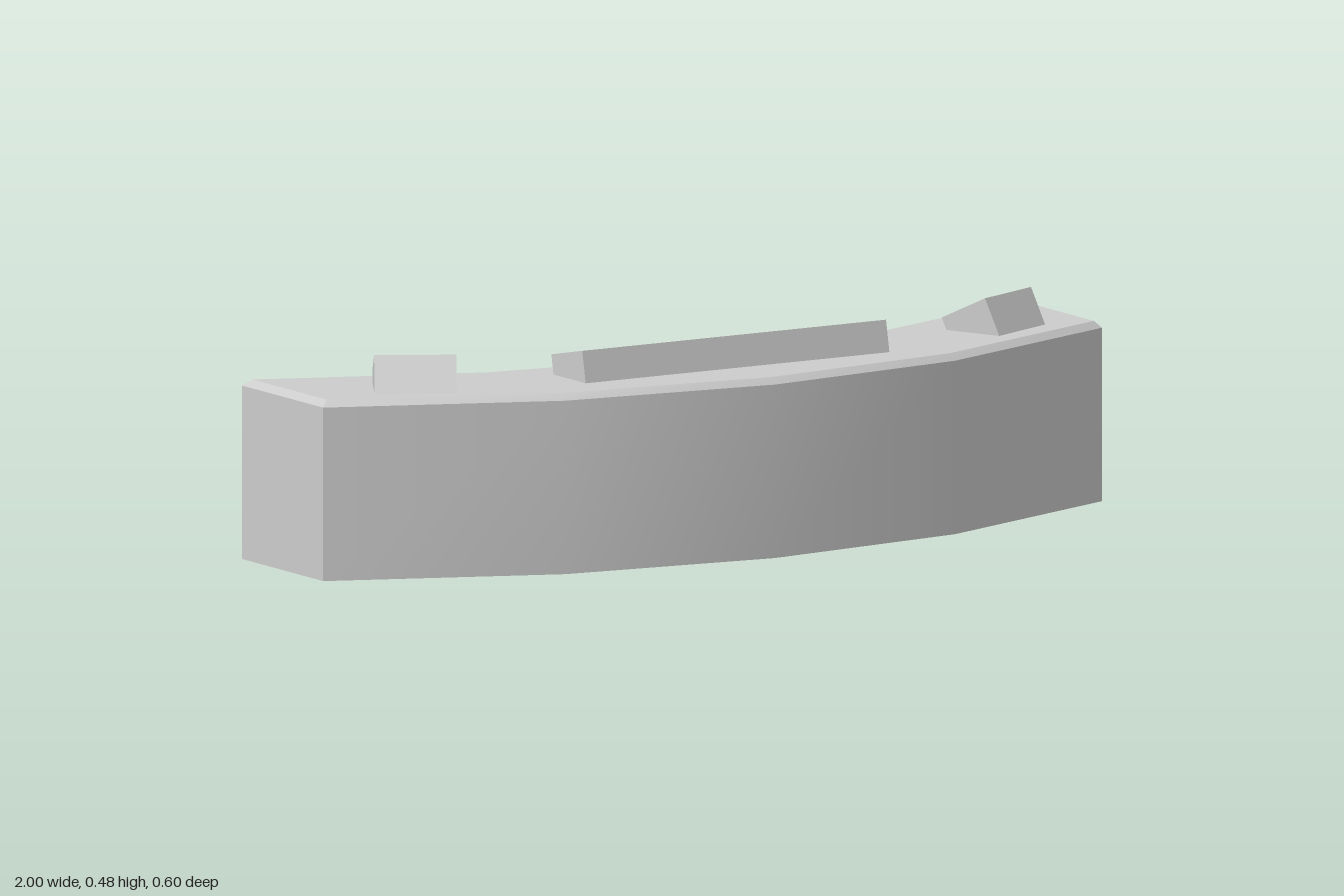
import * as THREE from 'three';
import { toCreasedNormals } from 'three/addons/utils/BufferGeometryUtils.js';

const material = new THREE.MeshStandardMaterial({ color: 0xcccccc });

// Plan of the curved desk: [x, front z, back z], from right end to left end
const PLAN = [
  [-1, 0.04, -0.3], [-0.5, 0.24, -0.105], [0, 0.3, -0.045],
  [0.5, 0.24, -0.105], [1, 0.04, -0.3],
];
const PLAN_TOP = [
  [-0.985, 0.03, -0.279], [-0.497, 0.225, -0.09], [0, 0.287, -0.03],
  [0.497, 0.225, -0.09], [0.985, 0.03, -0.279],
];

// Closed loop at one height: along the front, then back along the rear
function ring(plan, y) {
  const front = plan.map(([x, zf]) => [x, y, zf]);
  const back = plan.map(([x, , zb]) => [x, y, zb]).reverse();
  return [...front, ...back];
}

// Curved block with a chamfered top rim
function curvedBlock() {
  const rings = [ring(PLAN, 0), ring(PLAN, 0.385), ring(PLAN_TOP, 0.4)];
  const n = rings[0].length;
  const pos = [];
  const quad = (a, b, c, d) => pos.push(...a, ...b, ...c, ...a, ...c, ...d);
  for (let r = 0; r < 2; r++) {
    for (let i = 0; i < n; i++) {
      const j = (i + 1) % n;
      quad(rings[r][i], rings[r][j], rings[r + 1][j], rings[r + 1][i]);
    }
  }
  // Top and underside, one quad per bay
  const top = rings[2], low = rings[0];
  for (let i = 0; i < n / 2 - 1; i++) {
    const k = n - 1 - i;
    quad(top[i], top[i + 1], top[k - 1], top[k]);
    quad(low[k], low[k - 1], low[i + 1], low[i]);
  }
  const geometry = new THREE.BufferGeometry();
  geometry.setAttribute('position', new THREE.Float32BufferAttribute(pos, 3));
  geometry.computeVertexNormals();
  return toCreasedNormals(geometry, 0.5);
}

// Tilted box placed by the middle of its upper front edge
function tiltedBox(name, [w, h, d], [x, y, z], yaw, tilt) {
  const geometry = new THREE.BoxGeometry(w, h, d).translate(0, -h / 2, -d / 2);
  const mesh = new THREE.Mesh(geometry, material);
  mesh.name = name;
  mesh.position.set(x, y, z);
  mesh.rotation.order = 'YXZ';
  mesh.rotation.set(THREE.MathUtils.degToRad(-tilt), THREE.MathUtils.degToRad(yaw), 0);
  return mesh;
}

export function createModel() {
  const group = new THREE.Group();
  group.name = 'curvedConsole';

  const body = new THREE.Mesh(curvedBlock(), material);
  body.name = 'consoleBody';
  group.add(body);

  // Long central panel and a smaller, steeper one near each end
  group.add(
    tiltedBox('centrePanel', [0.78, 0.12, 0.132], [0, 0.47, 0.13], 0, 11.5),
    tiltedBox('leftPanel', [0.18, 0.12, 0.126], [0.772, 0.48, 0.018], 24.5, 25),
    tiltedBox('rightPanel', [0.18, 0.12, 0.126], [-0.76, 0.48, 0.034], -29.5, 25),
  );
  return group;
}
